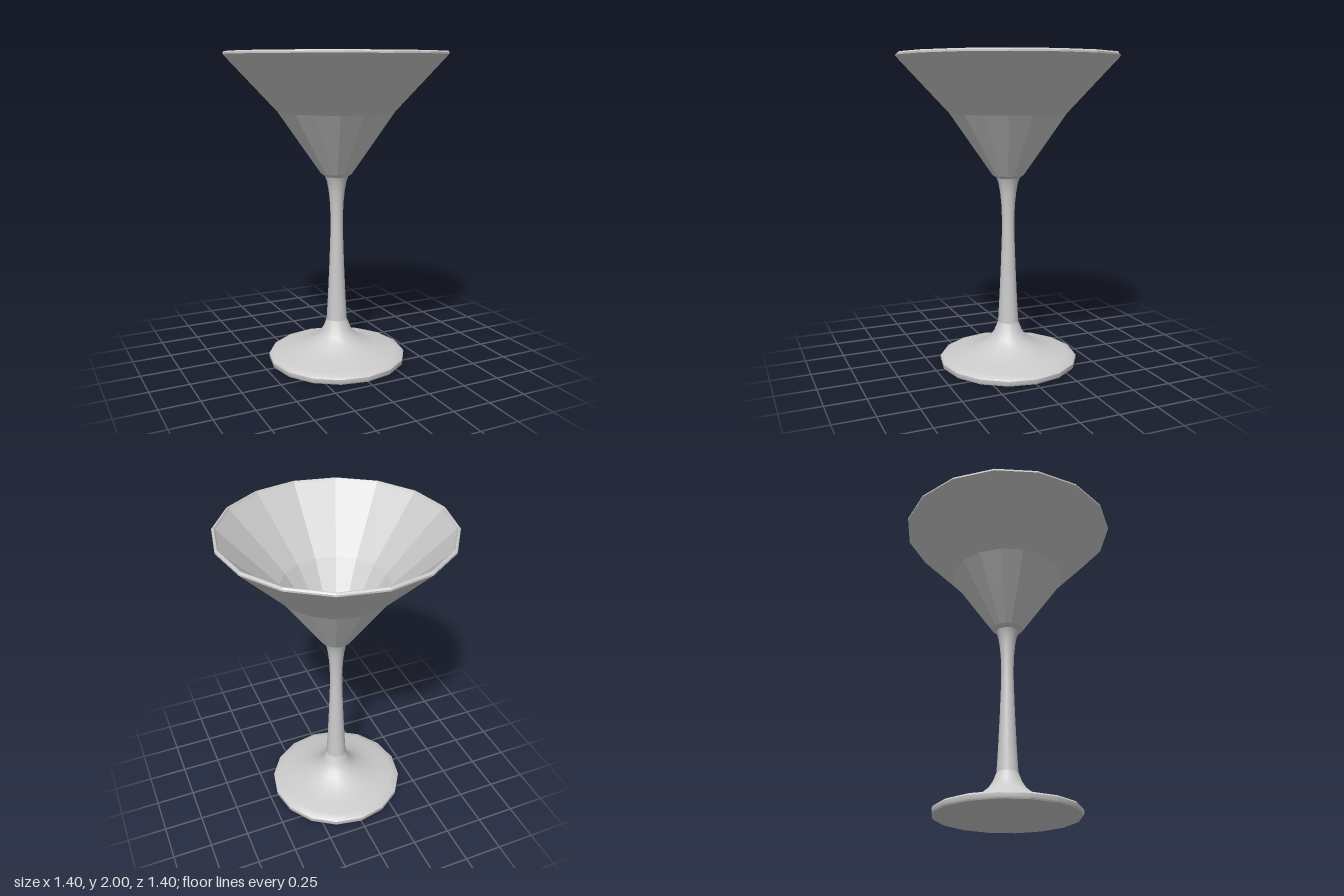
import * as THREE from 'three';
import { toCreasedNormals } from 'three/addons/utils/BufferGeometryUtils.js';

const SIDES = 16;

// Sixteen-sided turned part from [radius, height] pairs
function turned(name, profile, flat) {
  const points = profile.map(([r, y]) => new THREE.Vector2(r, y));
  let geometry = new THREE.LatheGeometry(points, SIDES);
  if (!flat) geometry = toCreasedNormals(geometry, 0.6);
  const material = new THREE.MeshStandardMaterial({ color: 0xcccccc, flatShading: flat });
  const mesh = new THREE.Mesh(geometry, material);
  mesh.name = name;
  return mesh;
}

export function createModel() {
  const glass = new THREE.Group();
  glass.name = 'cocktailGlass';

  // Foot: flat underside, thin edge, then a sweep up into the stem
  glass.add(turned('foot', [
    [0, 0], [0.445, 0], [0.45, 0.008], [0.45, 0.033], [0.44, 0.043], [0.40, 0.055],
    [0.32, 0.072], [0.25, 0.092], [0.20, 0.113], [0.155, 0.14],
    [0.115, 0.173], [0.09, 0.213], [0.067, 0.27],
  ], false));

  // Stem: slim waist, flaring under the bowl
  glass.add(turned('stem', [
    [0.067, 0.27], [0.057, 0.45], [0.048, 0.65], [0.041, 0.85], [0.04, 0.95],
    [0.044, 1.05], [0.052, 1.13], [0.063, 1.19], [0.075, 1.222],
  ], false));

  // Bowl: faceted outer cone, narrow rim and inner cone in one closed wall
  glass.add(turned('bowl', [
    [0.075, 1.222], [0.1, 1.24], [0.225, 1.42], [0.37, 1.63], [0.70, 1.982],
    [0.70, 1.992], [0.692, 2], [0.685, 2], [0.677, 1.988],
    [0.335, 1.63], [0.23, 1.475], [0.073, 1.263], [0.04, 1.248], [0, 1.243],
  ], true));

  return glass;
}
